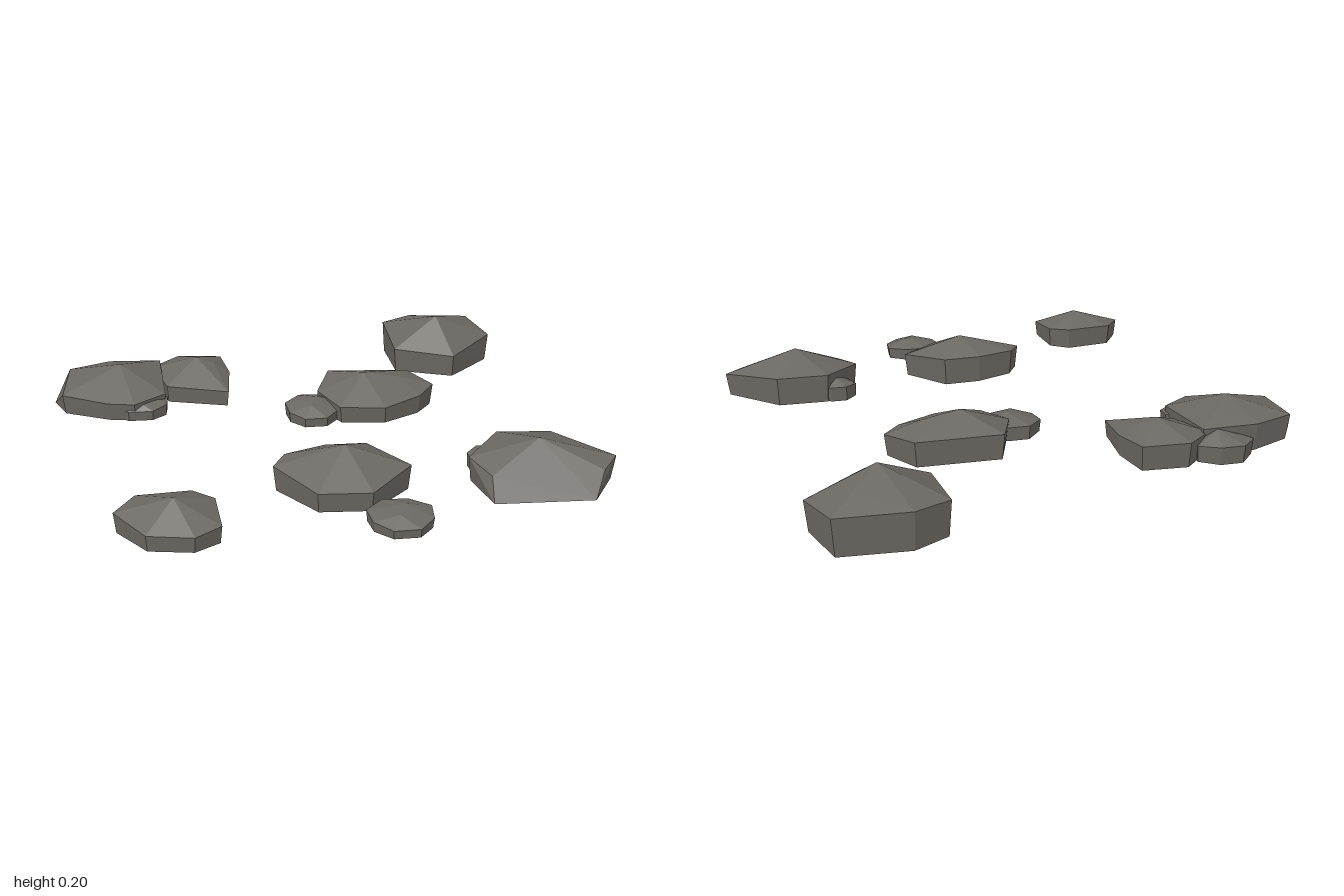
import * as THREE from 'three';
import { ConvexGeometry } from 'three/addons/geometries/ConvexGeometry.js';

// Large rocks: peak [x, z, height], rough plan outline [x, z] and optional ground-level toes
const ROCKS = [
  { name: 'tallRock', peak: [.54, -.645, .205],
    outline: [[.335, -.79], [.455, -.85], [.7, -.835], [.77, -.665], [.595, -.48], [.36, -.55]] },
  { name: 'wideRock', peak: [-.74, -.3, .155], toes: [[-1, -.3]],
    outline: [[-.95, -.4], [-.8, -.46], [-.6, -.46], [-.56, -.19], [-.67, -.11], [-.77, -.12], [-.95, -.19]] },
  { name: 'leaningRock', peak: [-.45, -.4, .14],
    outline: [[-.53, -.53], [-.36, -.52], [-.32, -.39], [-.32, -.23], [-.56, -.28], [-.63, -.44]] },
  { name: 'ridgeRock', peak: [.2, -.2, .145],
    outline: [[.07, -.335], [.38, -.33], [.47, -.215], [.41, -.13], [.27, -.045], [.1, -.055], [.02, -.18]] },
  { name: 'frontRock', peak: [.08, .45, .16],
    outline: [[-.16, .46], [-.12, .39], [.02, .34], [.16, .335], [.3, .47], [.16, .62], [-.02, .62]] },
  { name: 'frontLeftRock', peak: [-.47, .72, .125],
    outline: [[-.66, .71], [-.6, .62], [-.42, .6], [-.345, .645], [-.32, .79], [-.4, .845], [-.55, .83]] },
  { name: 'slabRock', peak: [.73, .44, .165], toes: [[.56, .59], [.9, .58]],
    outline: [[1, .43], [.81, .28], [.62, .275], [.5, .42], [.56, .53], [.94, .51]] },
];

// Small stones: name, centre x, centre z, half width, half depth, height
const STONES = [
  ['backStone', -.67, -.45, .115, .1, .1],
  ['nestledStone', -.66, -.18, .12, .075, .085],
  ['sideStone', 0, -.115, .11, .1, .08],
  ['perchedStone', .59, .335, .08, .07, .085],
  ['frontStone', .24, .705, .115, .095, .07],
];

// Faceted rock: foot ring on the ground, sloping rim, one shoulder and the peak
function rockGeometry({ peak, outline, toes = [] }) {
  const [px, pz, height] = peak;
  const box = new THREE.Box2().setFromPoints(outline.map(([x, z]) => new THREE.Vector2(x, z)));
  const centre = box.getCenter(new THREE.Vector2());
  const halfDepth = box.getSize(new THREE.Vector2()).y / 2;
  const points = [new THREE.Vector3(px, height, pz)];
  for (const [x, z] of outline) {
    // The rim drops gently towards the front
    const rim = height * (0.55 - 0.12 * (z - centre.y) / halfDepth);
    points.push(new THREE.Vector3(x, rim, z));
    points.push(new THREE.Vector3(THREE.MathUtils.lerp(centre.x, x, 0.96), 0, THREE.MathUtils.lerp(centre.y, z, 0.96)));
  }
  for (const [x, z] of toes) points.push(new THREE.Vector3(x, 0, z));
  const [sx, sz] = outline[2];
  points.push(new THREE.Vector3((px + sx) / 2, height * 0.84, (pz + sz) / 2));
  return new ConvexGeometry(points);
}

// Small stone: an uneven eight-sided outline with an off-centre peak
function stoneSpec(name, x, z, w, d, height) {
  const outline = [];
  for (let i = 0; i < 8; i++) {
    const angle = 0.3 + i * Math.PI / 4;
    const reach = i % 3 ? 1 : 0.92;
    outline.push([x + w * reach * Math.cos(angle), z + d * reach * Math.sin(angle)]);
  }
  return { name, outline, peak: [x + w * 0.15, z - d * 0.1, height] };
}

export function createModel() {
  const group = new THREE.Group();
  group.name = 'rockScatter';
  const stone = new THREE.MeshStandardMaterial({ color: 0x6b6762, flatShading: true });
  stone.name = 'greyStone';
  for (const spec of [...ROCKS, ...STONES.map((s) => stoneSpec(...s))]) {
    const mesh = new THREE.Mesh(rockGeometry(spec), stone);
    mesh.name = spec.name;
    group.add(mesh);
  }
  return group;
}
